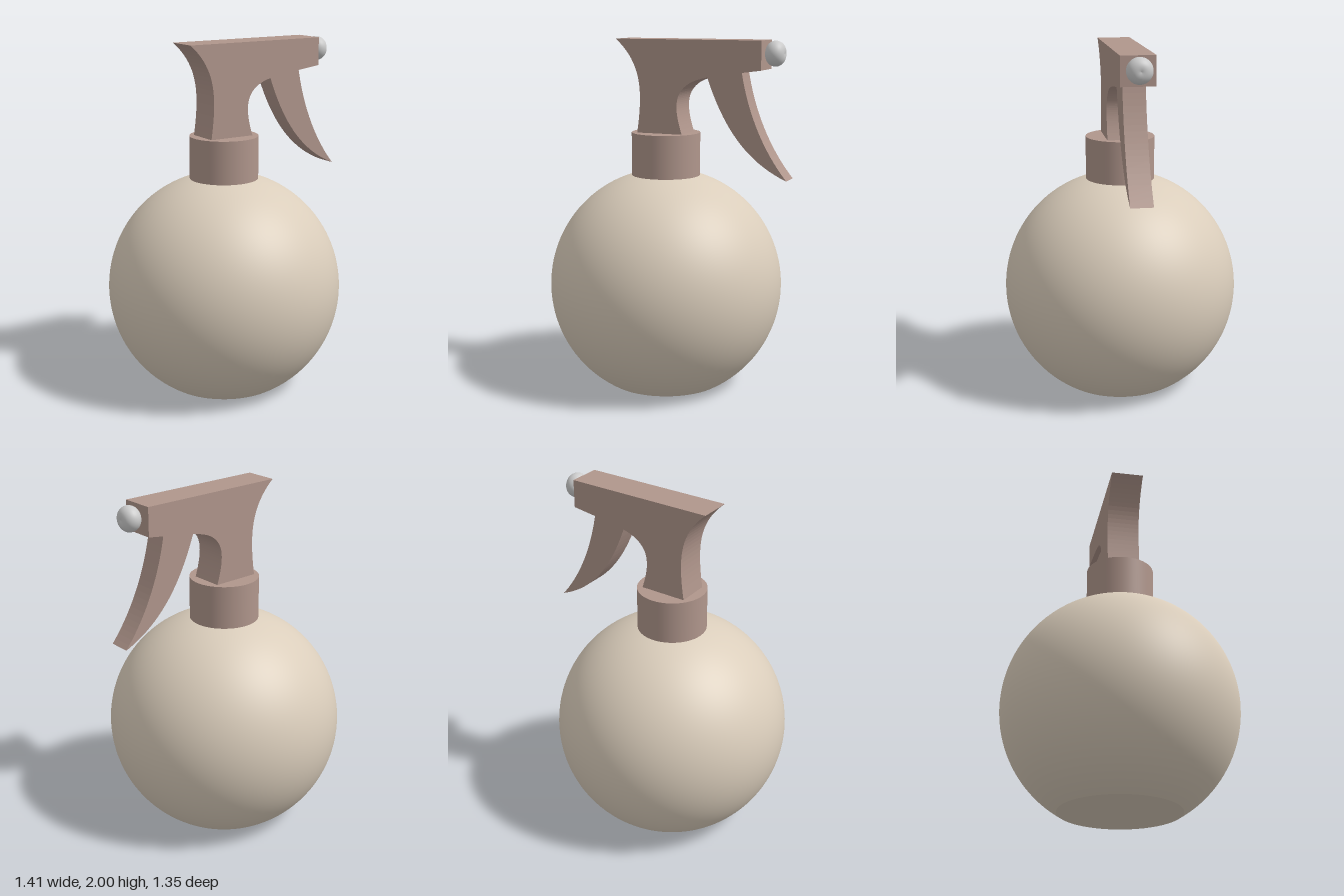
import * as THREE from 'three';

const AXIS_X = -0.035; // bottle axis
const mat = (color) => new THREE.MeshStandardMaterial({ color });

function add(group, name, geometry, material, x = 0, y = 0, z = 0) {
  const mesh = new THREE.Mesh(geometry, material);
  mesh.name = name;
  mesh.position.set(x, y, z);
  group.add(mesh);
  return mesh;
}

// Side profile extruded across z, centred on z = 0
function slab(shape, width) {
  const g = new THREE.ExtrudeGeometry(shape, { depth: width, bevelEnabled: false, curveSegments: 20 });
  return g.translate(0, 0, -width / 2);
}

export function createModel() {
  const group = new THREE.Group();
  const beige = mat(0xdacdbb);
  const brown = mat(0xb0968c);
  const grey = mat(0xcccccc);

  // Round bottle with a flat base
  const R = 0.675, cy = 0.58;
  const start = Math.acos(cy / R);
  const profile = [];
  for (let i = 0; i <= 48; i++) {
    const a = start + (Math.PI - start) * i / 48;
    profile.push(new THREE.Vector2(Math.max(0, R * Math.sin(a)), cy - R * Math.cos(a)));
  }
  add(group, 'bottle', new THREE.LatheGeometry(profile, 96), beige, AXIS_X);
  const base = new THREE.CircleGeometry(R * Math.sin(start), 96).rotateX(Math.PI / 2);
  add(group, 'bottleBase', base, beige, AXIS_X);

  // Collar
  add(group, 'collar', new THREE.CylinderGeometry(0.197, 0.197, 0.247, 64), brown, AXIS_X, 1.3485);

  // Spray head: flared back, narrow neck, long barrel
  const head = new THREE.Shape();
  head.moveTo(-0.175, 1.47);
  head.lineTo(0.1, 1.47);
  head.bezierCurveTo(0.07, 1.56, 0.05, 1.65, 0.09, 1.71);
  head.bezierCurveTo(0.15, 1.8, 0.28, 1.8, 0.56, 1.84);
  head.lineTo(0.56, 2);
  head.lineTo(-0.305, 2);
  head.bezierCurveTo(-0.14, 1.86, -0.14, 1.7, -0.175, 1.47);
  add(group, 'sprayHead', slab(head, 0.188), brown, 0, 0, -0.003);

  // Curved trigger tapering to a thin edge
  const trigger = new THREE.Shape();
  trigger.moveTo(0.24, 1.79);
  trigger.bezierCurveTo(0.33, 1.54, 0.46, 1.34, 0.705, 1.24);
  trigger.bezierCurveTo(0.57, 1.4, 0.48, 1.6, 0.44, 1.825);
  trigger.lineTo(0.4, 1.84);
  trigger.lineTo(0.26, 1.82);
  add(group, 'trigger', slab(trigger, 0.124), brown, 0, 0, -0.002);

  // Rounded nozzle with a dimple at its tip
  const ring = new THREE.TorusGeometry(0.017, 0.053, 32, 48).rotateY(Math.PI / 2);
  add(group, 'nozzle', ring, grey, 0.612, 1.928, -0.002);

  return group;
}
